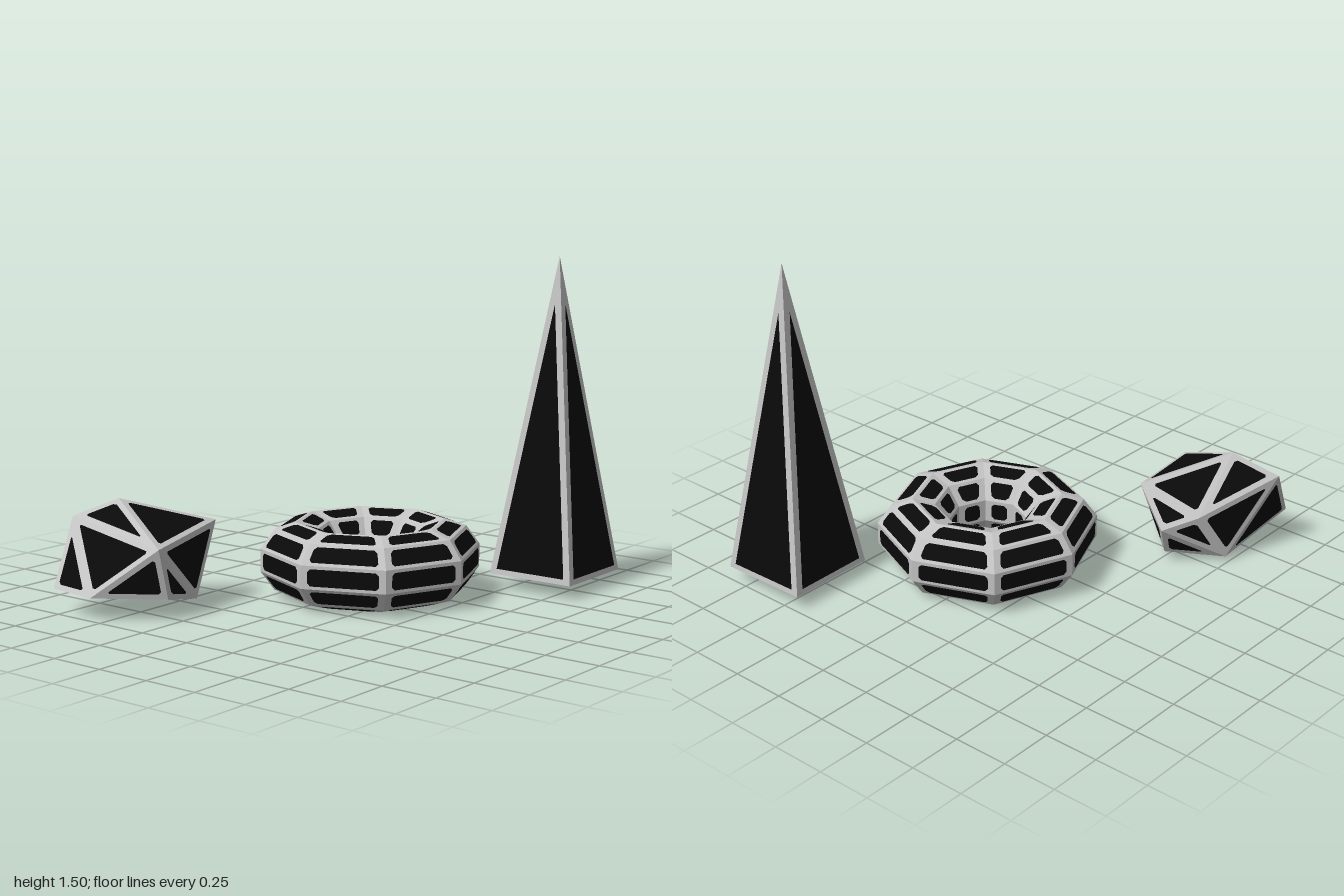
import * as THREE from 'three';
import { ConvexGeometry } from 'three/addons/geometries/ConvexGeometry.js';

const V = (x, y, z) => new THREE.Vector3(x, y, z);

const frameGrey = new THREE.MeshStandardMaterial({ color: 0xc4c4c4 });
frameGrey.name = 'frameGrey';
const panelBlack = new THREE.MeshStandardMaterial({ color: 0x0a0a0a });
panelBlack.name = 'panelBlack';

// Flat-faced mesh from convex polygons, each cut into a triangle fan
function facesMesh(name, faces, material) {
  const pts = [];
  for (const f of faces) {
    for (let i = 1; i < f.length - 1; i++) pts.push(f[0], f[i], f[i + 1]);
  }
  const geo = new THREE.BufferGeometry().setFromPoints(pts);
  geo.computeVertexNormals();
  const mesh = new THREE.Mesh(geo, material);
  mesh.name = name;
  return mesh;
}

// Shrinks a face by one inset per edge, clips its corners and lifts it slightly
function panel(face, insets, cut) {
  const n = face.length;
  const normal = new THREE.Triangle(face[0], face[1], face[2]).getNormal(V(0, 0, 0));
  const inner = face.map((v, i) => {
    const toNext = face[(i + 1) % n].clone().sub(v).normalize();
    const toPrev = face[(i + n - 1) % n].clone().sub(v).normalize();
    const s = toNext.clone().cross(toPrev).length();
    return v.clone()
      .addScaledVector(toNext, insets[(i + n - 1) % n] / s)
      .addScaledVector(toPrev, insets[i] / s)
      .addScaledVector(normal, 0.002);
  });
  if (!cut) return inner;
  return inner.flatMap((v, i) => [inner[(i + n - 1) % n], inner[(i + 1) % n]].map((o) => {
    const d = o.clone().sub(v);
    return v.clone().addScaledVector(d, Math.min(cut / d.length(), 0.3));
  }));
}

// Grey body with a black panel on every face
function panelled(name, faces, insetsOf, cut) {
  const group = new THREE.Group();
  group.name = name;
  group.add(
    facesMesh(name + 'Frame', faces, frameGrey),
    facesMesh(name + 'Panels', faces.map((f) => panel(f, insetsOf(f), cut)), panelBlack),
  );
  return group;
}

// Eight-segment ring with a ten-sided section
function ringFaces() {
  const R = 0.335, r = 0.168, sides = 8, section = 10;
  const p = (i, j) => {
    const a = (i / sides) * Math.PI * 2;
    const b = ((j + 0.5) / section) * Math.PI * 2;
    const d = R + r * Math.cos(b);
    return V(0.13 + d * Math.cos(a), r + r * Math.sin(b), 0.08 + d * Math.sin(a));
  };
  const faces = [];
  for (let i = 0; i < sides; i++) {
    for (let j = 0; j < section; j++) {
      faces.push([p(i, j), p(i, j + 1), p(i + 1, j + 1), p(i + 1, j)]);
    }
  }
  return faces;
}

// Tall four-sided spire, turned a touch
function spireFaces() {
  const y = 0.065;
  const c = [V(0.567, y, 0.43), V(0.99, y, 0.425), V(1.0, y, 0.847), V(0.572, y, 0.852)];
  const apex = V(0.78, 1.505, 0.64);
  return [c, ...c.map((v, k) => [c[(k + 1) % 4], v, apex])];
}

// Irregular twelve-point rock
function rockFaces() {
  const hull = new ConvexGeometry([
    V(-0.71, 0.477, -0.66), V(-0.80, 0.388, -0.855), V(-1.0, 0.11, -0.775), V(-1.0, 0.10, -0.555),
    V(-0.835, 0.315, -0.307), V(-0.60, 0.06, -0.307), V(-0.375, 0.362, -0.395), V(-0.32, 0.20, -0.56),
    V(-0.45, 0.25, -0.67), V(-0.58, 0.022, -0.735), V(-0.78, 0.09, -0.307), V(-0.39, 0.055, -0.53),
  ]).getAttribute('position');
  const faces = [];
  for (let i = 0; i < hull.count; i += 3) {
    faces.push([0, 1, 2].map((k) => V(0, 0, 0).fromBufferAttribute(hull, i + k)));
  }
  return faces;
}

// Even inset for a triangle, limited on slivers
function triInsets(f) {
  const [a, b, c] = f;
  const perimeter = a.distanceTo(b) + b.distanceTo(c) + c.distanceTo(a);
  const inradius = (2 * new THREE.Triangle(a, b, c).getArea()) / perimeter;
  const d = Math.min(0.024, inradius * 0.45);
  return [d, d, d];
}

export function createModel() {
  const model = new THREE.Group();
  model.name = 'panelledSolids';
  model.add(
    panelled('ring', ringFaces(), () => [0.03, 0.014, 0.03, 0.014], 0.013),
    panelled('spire', spireFaces(), (f) => (f.length === 4 ? [0.022, 0.022, 0.022, 0.022] : [0.025, 0.031, 0.031]), 0),
    panelled('rock', rockFaces(), triInsets, 0.012),
  );
  return model;
}
